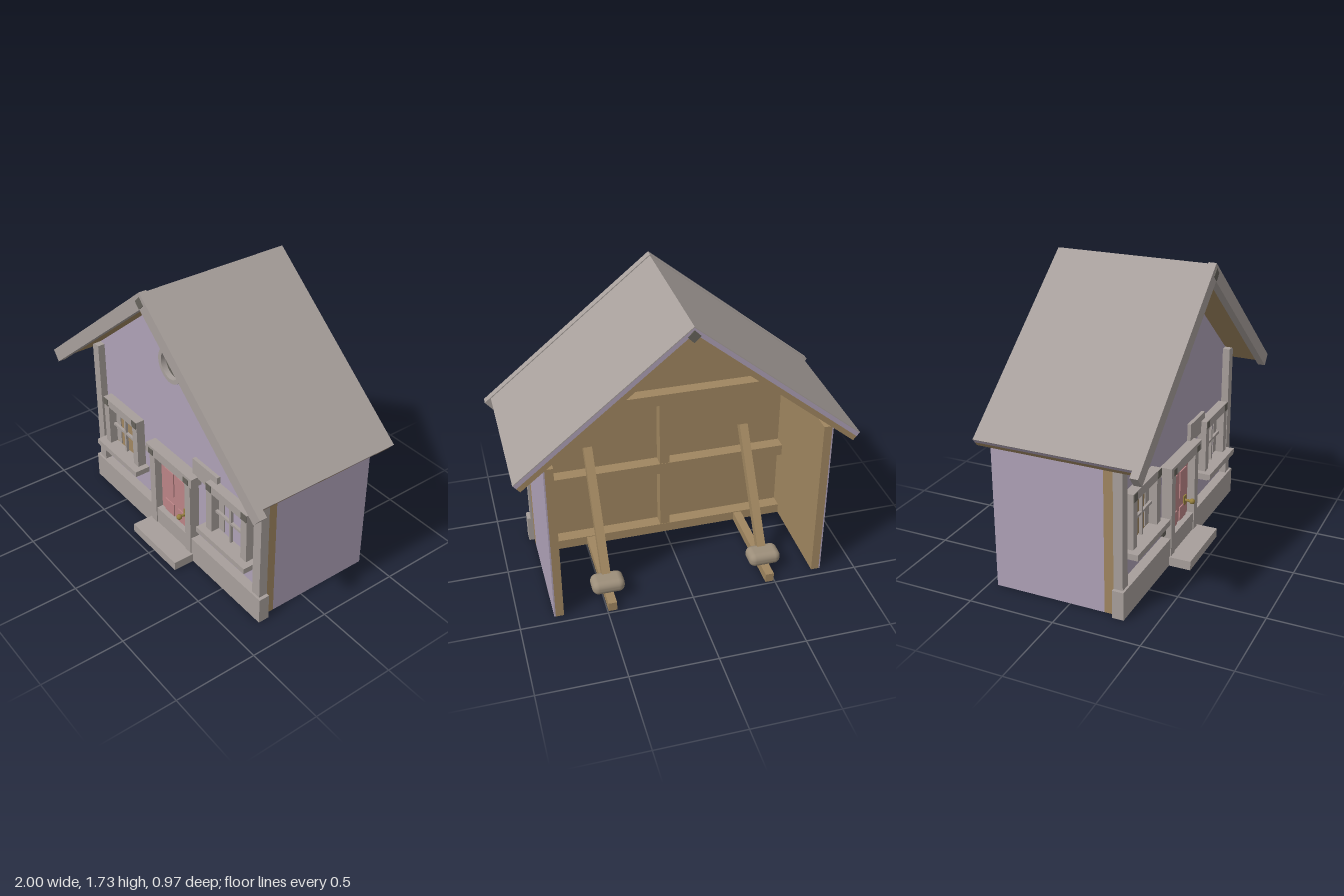
import * as THREE from 'three';
import { RoundedBoxGeometry } from 'three/addons/geometries/RoundedBoxGeometry.js';

const mat = (name, color) => Object.assign(new THREE.MeshStandardMaterial({ color }), { name });

export function createModel() {
  const house = new THREE.Group();
  house.name = 'stageHouse';
  const grey = mat('warm grey trim', 0xa79f9b);
  const lavender = mat('lavender wall', 0xaea1b7);
  const wood = mat('bare wood', 0xa08660);
  const red = mat('faded red door', 0xbb8486);
  const dark = mat('dark grey', 0x66635c);
  const brass = mat('old brass', 0x96803f);
  const bag = mat('sandbag canvas', 0x9c8e7a);

  const add = (name, geometry, material, parent = house) => {
    const m = new THREE.Mesh(geometry, material);
    m.name = name;
    parent.add(m);
    return m;
  };
  // box given by its limits on each axis
  const box = (name, material, x0, x1, y0, y1, z0, z1, parent) => {
    const m = add(name, new THREE.BoxGeometry(x1 - x0, y1 - y0, z1 - z0), material, parent);
    m.position.set((x0 + x1) / 2, (y0 + y1) / 2, (z0 + z1) / 2);
    return m;
  };
  const prism = (name, material, points, z0, z1) => {
    const shape = new THREE.Shape(points.map(([x, y]) => new THREE.Vector2(x, y)));
    const g = new THREE.ExtrudeGeometry(shape, { depth: z1 - z0, bevelEnabled: false });
    add(name, g, material).position.z = z0;
  };

  // pitched roof layers, each an upside-down V extruded along z
  const DX = 0.775, DY = 0.632;
  const pitched = (name, material, apex, depth0, depth1, length, z0, z1) => {
    const end = (t) => [DX * length - DY * t, apex - DY * length - DX * t];
    const [ax, ay] = end(depth0), [bx, by] = end(depth1);
    prism(name, material, [[0, apex - depth0 / DX], [-ax, ay], [-bx, by],
      [0, apex - depth1 / DX], [bx, by], [ax, ay]], z0, z1);
  };
  pitched('roofCovering', grey, 1.725, 0, 0.005, 1.24, -0.45, 0.44);
  pitched('roofSheet', lavender, 1.725, 0.005, 0.03, 1.24, -0.45, 0.44);
  pitched('roofBoards', wood, 1.725, 0.03, 0.06, 1.24, -0.45, 0.44);
  pitched('bargeBoards', grey, 1.732, 0, 0.077, 1.288, 0.44, 0.485);
  for (const z of [0.486, -0.451]) {
    const joint = box('ridgeJoint', dark, -0.025, 0.025, 1.645, 1.695, z - 0.003, z + 0.003);
    joint.rotation.z = Math.PI / 4;
  }

  // gable front: wooden backing with a painted face
  const gable = [[-0.8, 0], [0.8, 0], [0.8, 0.995], [0, 1.648], [-0.8, 0.995]];
  prism('gableBacking', wood, gable, 0.205, 0.264);
  prism('gableFace', lavender, gable, 0.264, 0.273);

  // framing behind the gable
  for (const [y0, y1] of [[0, 0.06], [0.445, 0.515], [0.925, 0.995]])
    box('rail', wood, -0.745, 0.745, y0, y1, 0.13, 0.205);
  box('stud', wood, -0.03, 0.03, 0.06, 0.925, 0.132, 0.205);

  for (const s of [-1, 1]) {
    const span = (name, m, a, b, ...rest) =>
      box(name, m, Math.min(s * a, s * b), Math.max(s * a, s * b), ...rest);
    // side walls and corner trim
    span('sideWallBoards', wood, 0.745, 0.792, 0, 1.01, -0.45, 0.205);
    span('sideWallFace', lavender, 0.792, 0.8, 0, 1.0, -0.45, 0.205);
    span('cornerTrim', grey, 0.75, 0.812, 0.165, 1.0, 0.264, 0.317);

    // raking brace with foot and sandbag
    span('braceFoot', wood, 0.445, 0.495, 0, 0.055, -0.485, 0.13);
    const dy = 0.68, dz = 0.45;
    const brace = add('brace', new THREE.BoxGeometry(0.05, Math.hypot(dy, dz), 0.05), wood);
    brace.position.set(s * 0.47, 0.055 + dy / 2, -0.35 + dz / 2);
    brace.rotation.x = Math.atan2(dz, dy);
    add('sandbag', new RoundedBoxGeometry(0.19, 0.085, 0.13, 4, 0.038), bag)
      .position.set(s * 0.47, 0.095, -0.35);
  }

  // plinth and step
  box('plinth', grey, -0.832, 0.832, 0, 0.165, 0.264, 0.33);
  box('step', grey, -0.217, 0.215, 0, 0.055, 0.33, 0.46);

  // door with frame, raised panels and knob
  const door = new THREE.Group();
  door.name = 'door';
  house.add(door);
  box('doorLeaf', red, -0.15, 0.15, 0.165, 0.55, 0.273, 0.29, door);
  for (const x of [-0.065, 0.065])
    for (const [y0, y1] of [[0.31, 0.48], [0.165, 0.25]])
      box('doorPanel', red, x - 0.045, x + 0.045, y0, y1, 0.29, 0.297, door);
  for (const x of [-0.175, 0.175]) {
    box('doorJamb', grey, x - 0.026, x + 0.026, 0.055, 0.555, 0.273, 0.336, door);
    box('doorJoint', dark, x - 0.024, x + 0.024, 0.557, 0.595, 0.343, 0.347, door);
  }
  box('doorHead', grey, -0.228, 0.226, 0.552, 0.612, 0.273, 0.344, door);
  box('lockPlate', brass, 0.082, 0.118, 0.235, 0.295, 0.29, 0.298, door);
  const stem = add('knobStem', new THREE.CylinderGeometry(0.008, 0.008, 0.05, 12), brass, door);
  stem.rotation.x = Math.PI / 2;
  stem.position.set(0.1, 0.265, 0.32);
  add('knob', new THREE.SphereGeometry(0.017, 16, 12), brass, door).position.set(0.1, 0.265, 0.342);

  // windows: trim, sill, curtains and glazing bars
  for (const [cx, pane] of [[-0.525, wood], [0.525, lavender]]) {
    const w = new THREE.Group();
    w.name = 'window';
    w.position.x = cx;
    house.add(w);
    box('pane', pane, -0.13, 0.13, 0.35, 0.62, 0.273, 0.277, w);
    for (const s of [-1, 1]) {
      const x = s * 0.155, c = s * 0.098;
      box('windowJamb', grey, x - 0.025, x + 0.025, 0.35, 0.625, 0.273, 0.328, w);
      box('windowJoint', dark, x - 0.024, x + 0.024, 0.625, 0.67, 0.329, 0.333, w);
      box('sillBracket', grey, x - 0.022, x + 0.022, 0.29, 0.315, 0.273, 0.34, w);
      box('curtain', grey, c - 0.024, c + 0.024, 0.36, 0.61, 0.277, 0.283, w);
    }
    box('windowHead', grey, -0.18, 0.18, 0.62, 0.672, 0.273, 0.33, w);
    box('windowSill', grey, -0.217, 0.217, 0.315, 0.35, 0.273, 0.372, w);
    box('uprightBar', grey, -0.008, 0.008, 0.35, 0.62, 0.283, 0.3, w);
    box('crossBar', grey, -0.13, 0.13, 0.475, 0.491, 0.283, 0.299, w);
  }

  // round attic window
  const ring = new THREE.Shape().absarc(0, 0, 0.107, 0, Math.PI * 2);
  ring.holes.push(new THREE.Path().absarc(0, 0, 0.082, 0, Math.PI * 2, true));
  add('roundWindowFrame', new THREE.ExtrudeGeometry(ring,
    { depth: 0.04, bevelEnabled: false, curveSegments: 32 }), grey).position.set(0, 1.235, 0.273);
  add('roundWindowPane', new THREE.CircleGeometry(0.083, 32), dark).position.set(0, 1.235, 0.28);

  // blank door sign and bell
  box('sign', grey, 0.175, 0.402, 0.6, 0.715, 0.273, 0.295);
  const bell = add('bell', new THREE.CylinderGeometry(0.036, 0.036, 0.03, 20), dark);
  bell.rotation.x = Math.PI / 2;
  bell.position.set(-0.222, 0.222, 0.288);

  return house;
}
